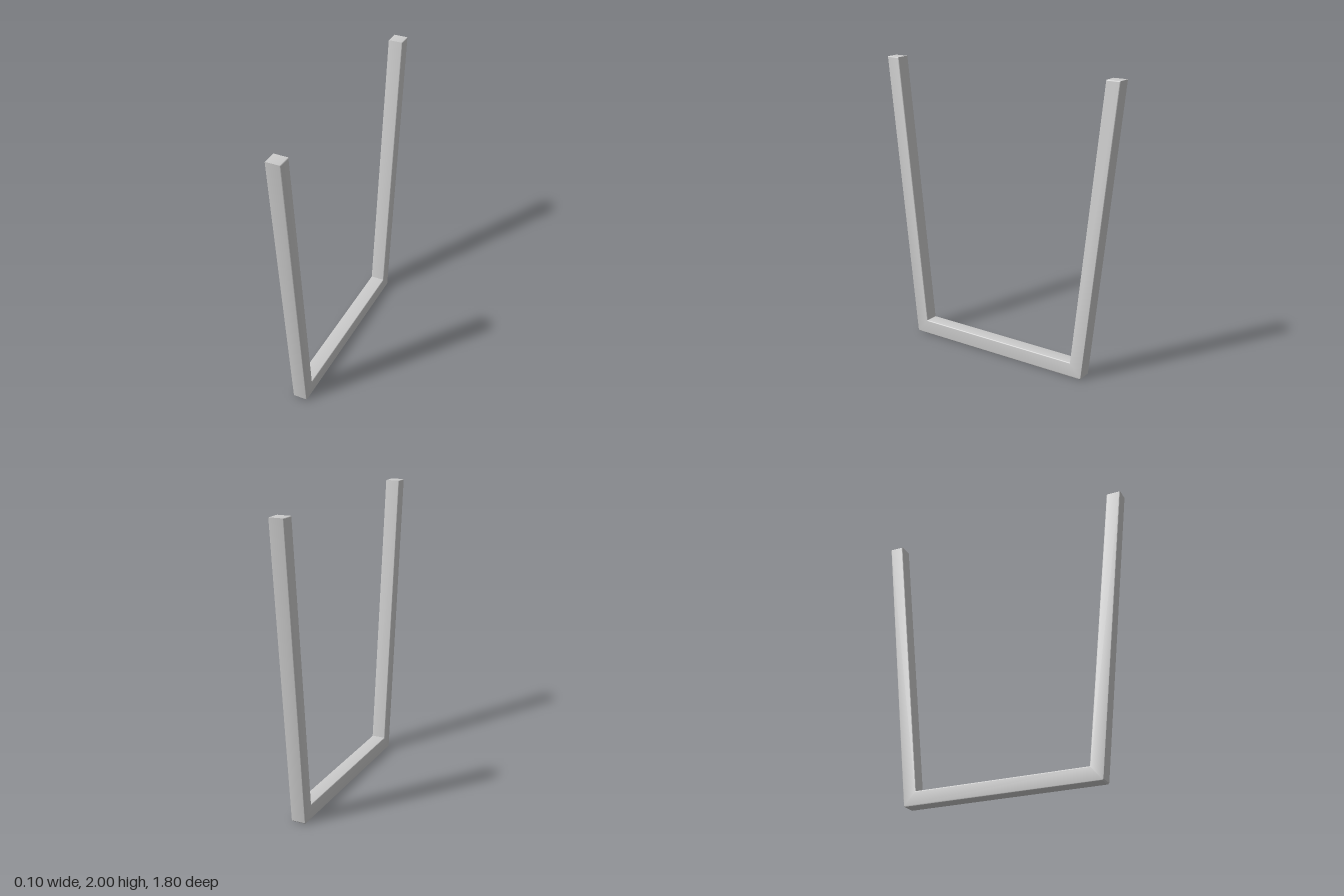
import * as THREE from 'three';
import { toCreasedNormals } from 'three/addons/utils/BufferGeometryUtils.js';

export function createModel() {
  const group = new THREE.Group();
  group.name = 'uFrameLeg';

  const width = 0.1, bevel = 0.006;

  // Half outline (z, y) from the floor up the outside and down the inside
  const half = [[0.682, 0], [0.691, 0.008], [0.9, 2], [0.804, 2], [0.604, 0.1]];
  const mirrored = half.map(([z, y]) => [-z, y]).reverse();
  const outline = [...half, ...mirrored].map(([z, y]) => new THREE.Vector2(z, y));

  // Square-section bar with two splayed uprights and a floor rail, edges eased
  const extruded = new THREE.ExtrudeGeometry(new THREE.Shape(outline), {
    depth: width - 2 * bevel,
    bevelEnabled: true,
    bevelThickness: bevel,
    bevelSize: bevel,
    bevelOffset: -bevel,
    bevelSegments: 3,
  });
  extruded.translate(0, 0, bevel - width / 2);
  extruded.rotateY(-Math.PI / 2);

  const frame = new THREE.Mesh(
    toCreasedNormals(extruded, 0.6),
    new THREE.MeshStandardMaterial({ color: 0xcccccc })
  );
  frame.name = 'legFrame';
  group.add(frame);
  return group;
}
